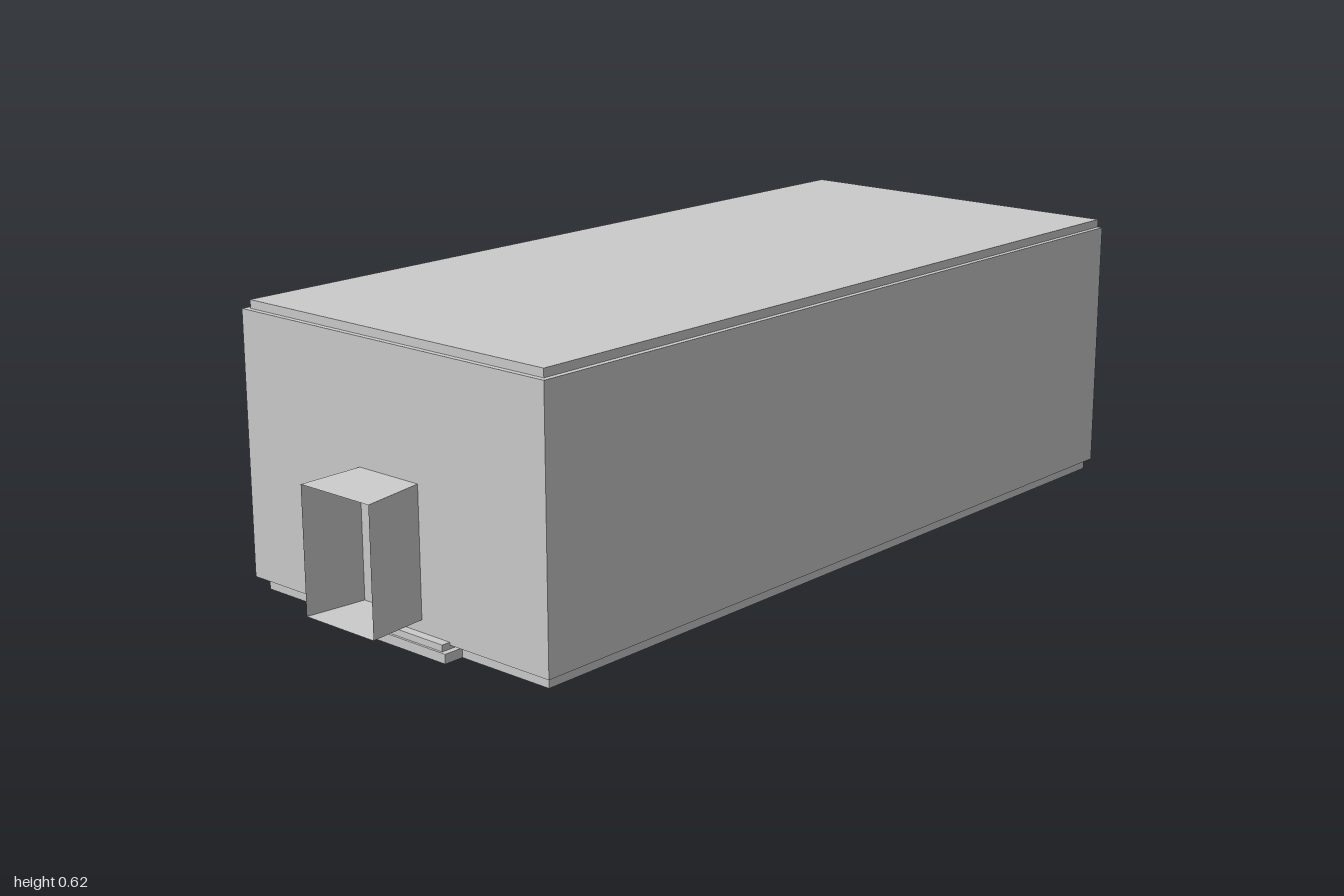
import * as THREE from 'three';

const mat = new THREE.MeshStandardMaterial({ color: 0xcccccc });
const thin = new THREE.MeshStandardMaterial({ color: 0xcccccc, side: THREE.DoubleSide });

function add(parent, name, geo, x = 0, y = 0, z = 0, material = mat) {
  const m = new THREE.Mesh(geo, material);
  m.name = name;
  m.position.set(x, y, z);
  parent.add(m);
  return m;
}
// box given by its limits
function box(parent, name, x0, x1, y0, y1, z0, z1) {
  return add(parent, name, new THREE.BoxGeometry(x1 - x0, y1 - y0, Math.abs(z1 - z0)),
    (x0 + x1) / 2, (y0 + y1) / 2, (z0 + z1) / 2);
}
// flat-shaded strips between matching rows of points
function loft(rows) {
  const p = [];
  for (let i = 0; i + 1 < rows.length; i++) {
    for (let j = 0; j + 1 < rows[i].length; j++) {
      const a = rows[i][j], b = rows[i][j + 1], c = rows[i + 1][j + 1], d = rows[i + 1][j];
      p.push(...a, ...b, ...c, ...a, ...c, ...d);
    }
  }
  const g = new THREE.BufferGeometry();
  g.setAttribute('position', new THREE.Float32BufferAttribute(p, 3));
  g.computeVertexNormals();
  return g;
}
const lathe = (pts, n = 20) => new THREE.LatheGeometry(pts.map(q => new THREE.Vector2(...q)), n);

// hall shell: open at +x, stepped at skirting and cornice
function makeShell(parent) {
  const row = (y, z, xb) => [[1, y, z], [xb, y, z], [xb, y, -z], [1, y, -z]];
  const levels = [[0, 0.405, -0.845], [0.028, 0.405, -0.845], [0.028, 0.425, -0.865],
    [0.597, 0.425, -0.865], [0.597, 0.413, -0.853], [0.615, 0.413, -0.853]];
  add(parent, 'walls', loft(levels.map(l => row(...l))), 0, 0, 0, thin);
  const slab = (name, y, z, xb) =>
    add(parent, name, loft([[[xb, y, z], [1, y, z]], [[xb, y, -z], [1, y, -z]]]), 0, 0, 0, thin);
  slab('floor', 0, 0.405, -0.845);
  slab('ceiling', 0.615, 0.413, -0.853);
}

// column with stepped pedestal, torus base and tapered shaft
function makeColumn(parent, name, x, z, y0, s, sunk) {
  const g = new THREE.Group();
  g.name = name;
  g.position.set(x, y0, z);
  const h = 0.325 - y0;
  const block = (n, half, a, b) => box(g, n, -half, half, a, b, -half, half);
  block('plinth', 0.034 * s, 0, 0.02);
  block('pedestal', 0.027 * s, 0.02, 0.056);
  block('pedestalCap', 0.03 * s, 0.056, 0.068);
  if (sunk) block('pedestalPanel', 0.02, 0.03, 0.05).scale.x = 1.55;
  add(g, 'shaft', lathe([[0, 0.068], [0.023, 0.068], [0.025, 0.074], [0.023, 0.08], [0.02, 0.083],
    [0.022, 0.088], [0.02, 0.092], [0.0185, 0.1], [0.018, 0.18], [0.016, h], [0, h]]));
  parent.add(g);
}

// double doors with raised panels and handles
function makeDoors(parent) {
  const doors = new THREE.Group();
  doors.name = 'doors';
  parent.add(doors);
  for (const s of [1, -1]) {
    box(doors, 'doorLeaf', -0.86, -0.85, 0.052, 0.325, s * 0.001, s * 0.085);
    for (const [a, b] of [[0.06, 0.092], [0.108, 0.142], [0.16, 0.288], [0.305, 0.322]])
      box(doors, 'doorPanel', -0.85, -0.847, a, b, s * 0.012, s * 0.079);
    const grip = new THREE.CatmullRomCurve3([[0, 0.165], [0.011, 0.17], [0.011, 0.19], [0, 0.195]]
      .map(([x, y]) => new THREE.Vector3(-0.85 + x, y, s * 0.007)));
    add(doors, 'handle', new THREE.TubeGeometry(grip, 12, 0.002, 6));
  }
}

// gable outline in the z-y plane, extruded towards +x
function gable(half, y0, eave, peak, hole) {
  const outline = (T, w, a, b, c) => {
    const t = new T();
    t.moveTo(-w, a); t.lineTo(w, a); t.lineTo(w, b); t.lineTo(0, c); t.lineTo(-w, b);
    t.closePath();
    return t;
  };
  const s = outline(THREE.Shape, half, y0, eave, peak);
  if (hole) s.holes.push(outline(THREE.Path, ...hole));
  return s;
}

// entrance portal: steps, columns, entablature, pediment
function makePortal(parent) {
  const portal = new THREE.Group();
  portal.name = 'portal';
  parent.add(portal);
  box(portal, 'lowerStep', -0.89, -0.67, 0, 0.02, -0.173, 0.173);
  box(portal, 'upperStep', -0.885, -0.685, 0.02, 0.034, -0.16, 0.16);
  box(portal, 'threshold', -0.865, -0.79, 0.034, 0.052, -0.088, 0.088);
  for (const s of [1, -1]) {
    makeColumn(portal, 'portalColumn', -0.73, s * 0.12, 0.034, 1.05, true);
    box(portal, 'doorJamb', -0.865, -0.835, 0.034, 0.325, s * 0.085, s * 0.1);
  }
  box(portal, 'entablature', -0.865, -0.695, 0.325, 0.375, -0.17, 0.17);
  box(portal, 'frieze', -0.695, -0.69, 0.335, 0.365, -0.14, 0.14);
  const extrude = (name, shape, depth, x) => {
    const g = new THREE.ExtrudeGeometry(shape, { depth, bevelEnabled: false });
    add(portal, name, g, x, 0, 0).rotation.y = Math.PI / 2;
  };
  extrude('pedimentFrame', gable(0.17, 0.375, 0.41, 0.453, [0.147, 0.38, 0.408, 0.44]), 0.07, -0.765);
  extrude('tympanum', gable(0.165, 0.375, 0.409, 0.45), 0.1, -0.865);
}

export function createModel() {
  const root = new THREE.Group();
  root.name = 'columnHall';
  makeShell(root);
  makePortal(root);
  makeDoors(root);

  // flared passage behind the doors, open at its outer end
  const ring = (x, z, y0, y1) => [[x, y0, z], [x, y1, z], [x, y1, -z], [x, y0, -z], [x, y0, z]];
  add(root, 'passage', loft([ring(-0.865, 0.083, 0.06, 0.334), ring(-1, 0.097, 0.06, 0.328)]), 0, 0, 0, thin);

  // two rows of columns with thin round plates between them
  const xs = [0.47, 0.28, 0.09, -0.1];
  for (const x of xs)
    for (const z of [0.324, -0.3]) makeColumn(root, 'hallColumn', x, z, 0, 1, false);
  for (const x of xs.slice(1))
    for (const z of [0.283, -0.258]) {
      const plate = new THREE.SphereGeometry(0.063, 20, 8);
      plate.scale(1, 1, 0.03);
      add(root, 'roundPlate', plate, x + 0.095, 0.158, z);
    }

  // basin on a foot
  const basin = new THREE.Group();
  basin.name = 'basin';
  basin.position.set(-0.36, 0, 0);
  root.add(basin);
  add(basin, 'foot', lathe([[0.039, 0], [0.036, 0.008], [0.029, 0.02], [0, 0.022]], 24));
  add(basin, 'bowl', lathe([[0, 0.02], [0.03, 0.022], [0.052, 0.032], [0.064, 0.046], [0.066, 0.054],
    [0.062, 0.054], [0.05, 0.04], [0.028, 0.03], [0, 0.028]], 32));
  return root;
}
